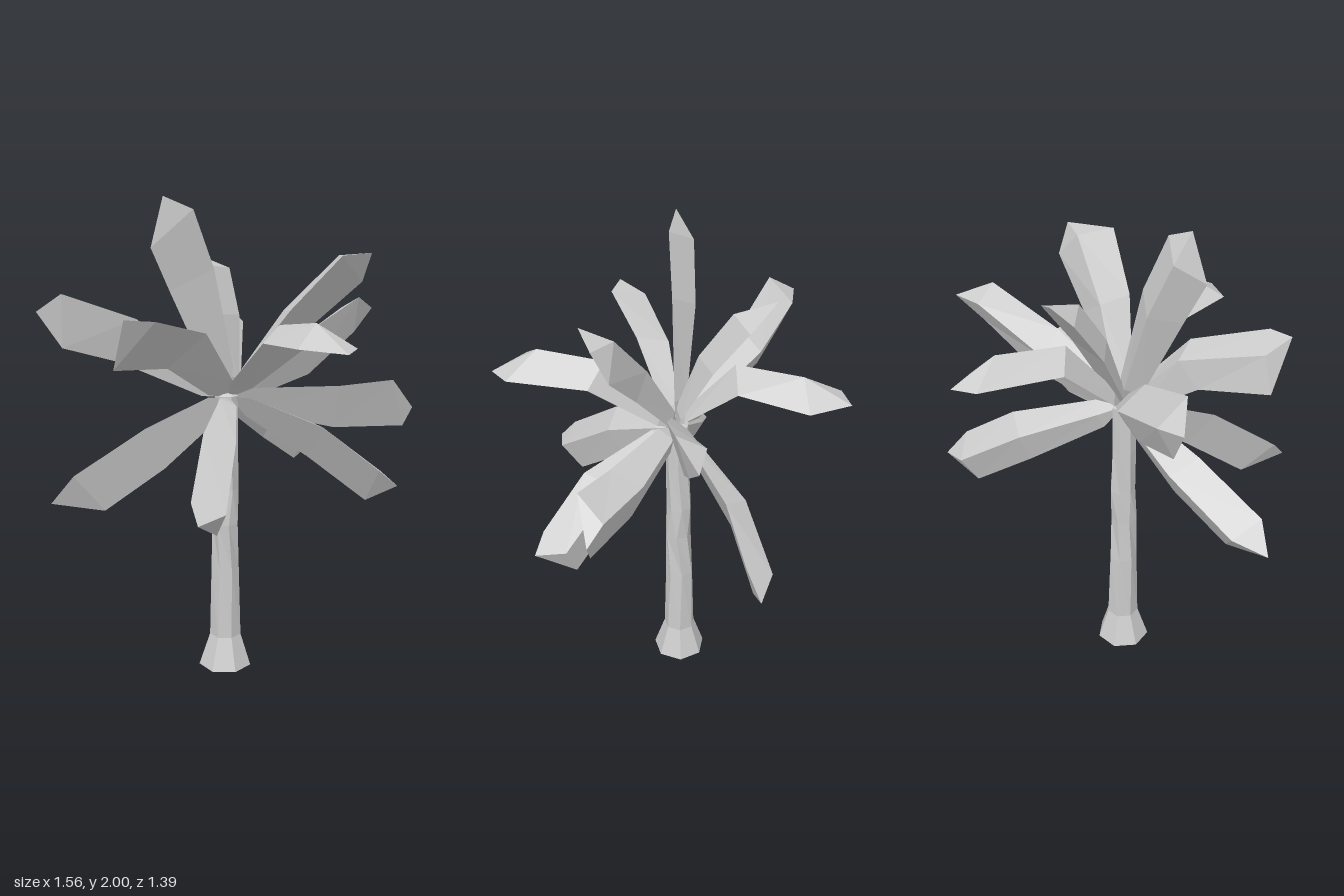
import * as THREE from 'three';

const V = (x, y, z) => new THREE.Vector3(x, y, z);

// Skin a list of equal-length rings of points, skipping collapsed triangles
function loft(rings) {
  const pos = [];
  const tri = (a, b, c) => {
    if (a.distanceTo(b) < 1e-6 || b.distanceTo(c) < 1e-6 || c.distanceTo(a) < 1e-6) return;
    for (const p of [a, b, c]) pos.push(p.x, p.y, p.z);
  };
  for (let k = 0; k < rings.length - 1; k++) {
    const a = rings[k], b = rings[k + 1];
    for (let i = 0; i < a.length; i++) {
      const j = (i + 1) % a.length;
      tri(a[i], a[j], b[i]);
      tri(a[j], b[j], b[i]);
    }
  }
  const g = new THREE.BufferGeometry();
  g.setAttribute('position', new THREE.Float32BufferAttribute(pos, 3));
  g.computeVertexNormals();
  return g;
}

// Frond: triangular section (flat underside, ridged top) from heart to root, elbow, end and tip.
// ridgeBack slopes the end cap.
function frondGeometry(heart, elbow, left, right, tip, ridgeBack) {
  const end = left.clone().add(right).multiplyScalar(0.5);
  const side = right.clone().sub(left).normalize();

  const section = (centre, dir, halfWidth, height, back) => {
    const up = side.clone().cross(dir).normalize();
    const across = dir.clone().cross(up).normalize();
    return [
      centre.clone().addScaledVector(across, -halfWidth),
      centre.clone().addScaledVector(up, height).addScaledVector(dir, -back),
      centre.clone().addScaledVector(across, halfWidth),
    ];
  };

  const inner = elbow.clone().sub(heart).normalize();
  const outer = end.clone().sub(elbow).normalize();
  const bend = inner.clone().add(outer).normalize();
  const root = section(heart.clone().lerp(elbow, 0.22), inner, 0.058, 0.045, 0);
  const middle = section(elbow, bend, 0.105, 0.085, 0.03);
  const last = section(end, outer, 0.11, 0.09, ridgeBack);
  last[0].copy(left);
  last[2].copy(right);
  return loft([[heart, heart, heart], root, middle, last, [tip, tip, tip]]);
}

export function createModel() {
  const model = new THREE.Group();
  model.name = 'palmTree';
  const mat = new THREE.MeshStandardMaterial({ color: 0xcccccc, flatShading: true, side: THREE.DoubleSide });

  // Trunk: seven-sided, flared foot, slightly twisting rings [y, radius, x, z, twist]
  const trunkRings = [
    [0, 0, -0.03, -0.03, 0],
    [0, 0.114, -0.03, -0.03, 0],
    [0.14, 0.068, -0.028, -0.03, 0],
    [0.45, 0.06, -0.03, -0.03, 0.12],
    [0.65, 0.056, -0.03, -0.022, -0.15],
    [0.8, 0.054, -0.025, -0.028, 0.15],
    [1.0, 0.05, -0.027, -0.02, 0],
    [1.2, 0.048, -0.025, -0.02, 0.05],
    [1.22, 0, -0.025, -0.02, 0],
  ].map(([y, r, x, z, twist]) => Array.from({ length: 7 }, (_, i) => {
    const a = (i / 7) * Math.PI * 2 + twist + 0.2;
    return V(x + r * Math.cos(a), y, z - r * Math.sin(a));
  }));
  const trunk = new THREE.Mesh(loft(trunkRings), mat);
  trunk.name = 'trunk';
  model.add(trunk);

  const fronds = new THREE.Group();
  fronds.name = 'fronds';
  model.add(fronds);
  const heart = V(-0.015, 1.19, -0.015);
  const frond = (name, elbow, left, right, tip, ridgeBack = 0) => {
    const geometry = frondGeometry(heart, V(...elbow), V(...left), V(...right), V(...tip), ridgeBack);
    const mesh = new THREE.Mesh(geometry, mat);
    mesh.name = name;
    fronds.add(mesh);
  };

  // Upright fronds
  frond('topFrondRight', [-0.19, 1.68, 0.02], [-0.19, 1.95, 0.04], [-0.37, 1.81, 0.05], [-0.31, 2.0, 0.03]);
  frond('topFrondBack', [0, 1.5, -0.19], [-0.1, 1.69, -0.35], [0.12, 1.69, -0.31], [-0.03, 1.76, -0.4], 0.04);
  frond('topFrondLeft', [0.23, 1.52, 0.14], [0.51, 1.655, 0.14], [0.33, 1.775, 0.285], [0.515, 1.775, 0.2]);

  // Spreading fronds
  frond('midFrondFront', [0.075, 1.45, 0.31], [0.21, 1.47, 0.61], [-0.025, 1.48, 0.59], [0.126, 1.465, 0.69], 0.08);
  frond('midFrondBack', [0.07, 1.46, -0.31], [0.09, 1.47, -0.66], [0.26, 1.45, -0.55], [0.19, 1.465, -0.7], 0.09);
  frond('midFrondBackRight', [-0.36, 1.41, -0.27], [-0.62, 1.61, -0.33], [-0.61, 1.38, -0.38], [-0.7, 1.53, -0.435]);
  frond('midFrondFrontRight', [-0.26, 1.42, 0.13], [-0.46, 1.57, 0.33], [-0.58, 1.38, 0.2], [-0.574, 1.58, 0.314]);
  frond('midFrondBackLeft', [0.37, 1.33, -0.07], [0.66, 1.4, -0.16], [0.65, 1.56, -0.11], [0.78, 1.495, -0.21]);
  frond('midFrondLeft', [0.41, 1.14, 0.13], [0.7, 1.045, 0.19], [0.605, 1.26, 0.25], [0.746, 1.12, 0.19]);

  // Drooping fronds
  frond('lowFrondRight', [-0.35, 1.01, 0], [-0.7, 0.95, 0.04], [-0.566, 0.78, 0], [-0.78, 0.835, -0.01]);
  frond('lowFrondFrontRight', [-0.2, 1.04, 0.26], [-0.28, 0.78, 0.455], [-0.405, 0.94, 0.51], [-0.405, 0.87, 0.575]);
  frond('lowFrondFrontLeft', [0.25, 1.03, 0.24], [0.45, 0.78, 0.31], [0.43, 0.94, 0.44], [0.505, 0.875, 0.46]);
  frond('lowFrondBackLeft', [0.325, 1.02, -0.27], [0.49, 0.78, -0.39], [0.58, 0.97, -0.365], [0.645, 0.865, -0.43]);

  return model;
}
